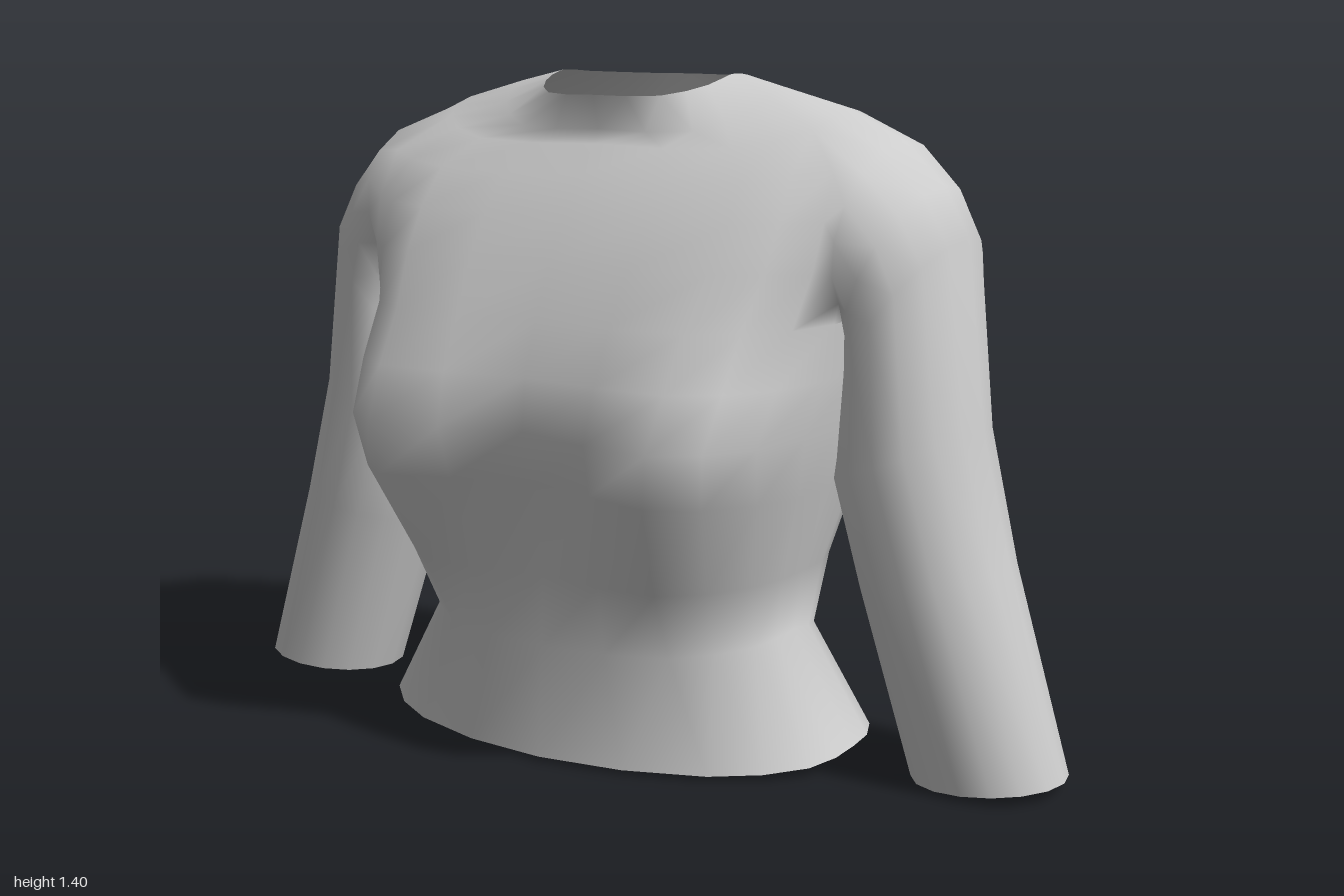
import * as THREE from 'three';

// Torso rings, hem to collar:
// y front, y side, y back, half width, then z of: front centre, bust,
// front corner, side, back corner, shoulder blade, back centre
const RINGS = [
  [0.015, 0.035, 0.04, 0.55, 0.31, 0.23, 0.10, -0.05, -0.19, -0.35, -0.395],
  [0.25, 0.27, 0.23, 0.415, 0.295, 0.235, 0.10, -0.03, -0.17, -0.31, -0.30],
  [0.40, 0.40, 0.40, 0.435, 0.29, 0.315, 0.15, -0.03, -0.20, -0.31, -0.30],
  [0.60, 0.58, 0.58, 0.49, 0.315, 0.42, 0.23, -0.03, -0.23, -0.325, -0.29],
  [0.71, 0.71, 0.71, 0.51, 0.36, 0.435, 0.27, -0.04, -0.27, -0.365, -0.325],
  [0.82, 0.82, 0.82, 0.525, 0.35, 0.38, 0.22, -0.08, -0.30, -0.405, -0.36],
  [0.93, 0.93, 0.93, 0.53, 0.31, 0.315, 0.165, -0.10, -0.33, -0.43, -0.38],
  [1.04, 1.04, 1.04, 0.56, 0.26, 0.25, 0.14, -0.10, -0.38, -0.44, -0.395],
  [1.13, 1.15, 1.13, 0.57, 0.205, 0.19, 0.11, -0.11, -0.375, -0.425, -0.395],
  [1.21, 1.26, 1.22, 0.56, 0.15, 0.125, 0.06, -0.12, -0.325, -0.39, -0.38],
  [1.27, 1.345, 1.30, 0.47, 0.09, 0.065, -0.02, -0.13, -0.25, -0.345, -0.345],
  [1.30, 1.385, 1.36, 0.32, 0.075, 0.045, -0.03, -0.12, -0.20, -0.31, -0.325],
  [1.37, 1.41, 1.40, 0.21, 0.095, 0.055, -0.03, -0.11, -0.20, -0.285, -0.305],
];
// Sleeve rings, shoulder to cuff: outer x, y, inner x, y, front z, back z
const SLEEVE = [
  [0.60, 1.285, 0.535, 0.92, 0.12, -0.37],
  [0.69, 1.20, 0.53, 0.86, 0.105, -0.35],
  [0.75, 1.10, 0.52, 0.79, 0.10, -0.32],
  [0.80, 0.72, 0.495, 0.60, 0.095, -0.28],
  [0.87, 0.45, 0.56, 0.38, 0.085, -0.25],
  [1.00, 0.03, 0.68, 0.005, 0.07, -0.225],
];
const COLS = 24;
const HOLE = { c0: 4, c1: 8, r0: 6, r1: 10 }; // armhole in the torso grid

// Closed smooth curve through one mirrored torso ring
function torsoRing([yf, ys, yb, w, fc, fb, sf, sz, sb, bb, bc]) {
  const half = [
    [0, yf, fc], [0.65 * w, yf, fb], [0.95 * w, (yf + ys) / 2, sf], [w, ys, sz],
    [0.94 * w, (yb + ys) / 2, sb], [0.5 * w, yb, bb], [0, yb, bc],
  ].map((p) => new THREE.Vector3(...p));
  const mirrored = half.slice(1, 6).reverse().map((p) => new THREE.Vector3(-p.x, p.y, p.z));
  const curve = new THREE.CatmullRomCurve3([...half, ...mirrored], true, 'centripetal');
  return Array.from({ length: COLS }, (_, i) => curve.getPoint(i / COLS));
}

export function createModel() {
  const group = new THREE.Group();
  const fabric = new THREE.MeshStandardMaterial({ color: 0xcccccc, side: THREE.DoubleSide });
  fabric.name = 'grey fabric';

  const positions = [];
  const add = (x, y, z) => positions.push(x, y, z) / 3 - 1;
  const quad = (list, a, b, c, d) => list.push(a, b, c, a, c, d);

  // Torso grid with both armholes left open
  const grid = RINGS.map((r) => torsoRing(r).map((p) => add(p.x, p.y, p.z)));
  const torso = [];
  for (let r = 0; r < grid.length - 1; r++) {
    for (let c = 0; c < COLS; c++) {
      const side = Math.min(c, COLS - 1 - c);
      const open = side >= HOLE.c0 && side < HOLE.c1 && r >= HOLE.r0 && r < HOLE.r1;
      const n = (c + 1) % COLS;
      if (!open) quad(torso, grid[r][c], grid[r][n], grid[r + 1][n], grid[r + 1][c]);
    }
  }

  // Sleeve lofted from the armhole edge through its rings
  function sleeve(s) {
    const at = (r, c) => grid[r][s > 0 ? c : COLS - c];
    const { c0, c1, r0, r1 } = HOLE;
    let loop = [];
    for (let c = c0; c < c1; c++) loop.push(at(r1, c));
    for (let r = r1; r > r0; r--) loop.push(at(r, c1));
    for (let c = c1; c > c0; c--) loop.push(at(r0, c));
    for (let r = r0; r < r1; r++) loop.push(at(r, c0));
    const faces = [];
    for (const [ox, oy, ix, iy, zf, zb] of SLEEVE) {
      const ring = loop.map((_, i) => {
        const a = Math.PI / 4 - (i / loop.length) * Math.PI * 2;
        const t = (1 + Math.cos(a)) / 2;
        return add(s * (ix + (ox - ix) * t), iy + (oy - iy) * t,
          (zf + zb) / 2 + ((zf - zb) / 2) * Math.sin(a));
      });
      loop.forEach((v, i) => {
        const n = (i + 1) % loop.length;
        if (s > 0) quad(faces, v, ring[i], ring[n], loop[n]);
        else quad(faces, v, loop[n], ring[n], ring[i]);
      });
      loop = ring;
    }
    return faces;
  }
  const parts = { torso, leftSleeve: sleeve(1), rightSleeve: sleeve(-1) };

  // Shared normals keep the shoulder seams smooth
  const whole = new THREE.BufferGeometry();
  whole.setAttribute('position', new THREE.Float32BufferAttribute(positions, 3));
  whole.setIndex(Object.values(parts).flat());
  whole.computeVertexNormals();

  for (const [name, index] of Object.entries(parts)) {
    const geometry = new THREE.BufferGeometry();
    geometry.setAttribute('position', whole.getAttribute('position'));
    geometry.setAttribute('normal', whole.getAttribute('normal'));
    geometry.setIndex(index);
    const mesh = new THREE.Mesh(geometry, fabric);
    mesh.name = name;
    group.add(mesh);
  }
  group.name = 'blouse';
  return group;
}
